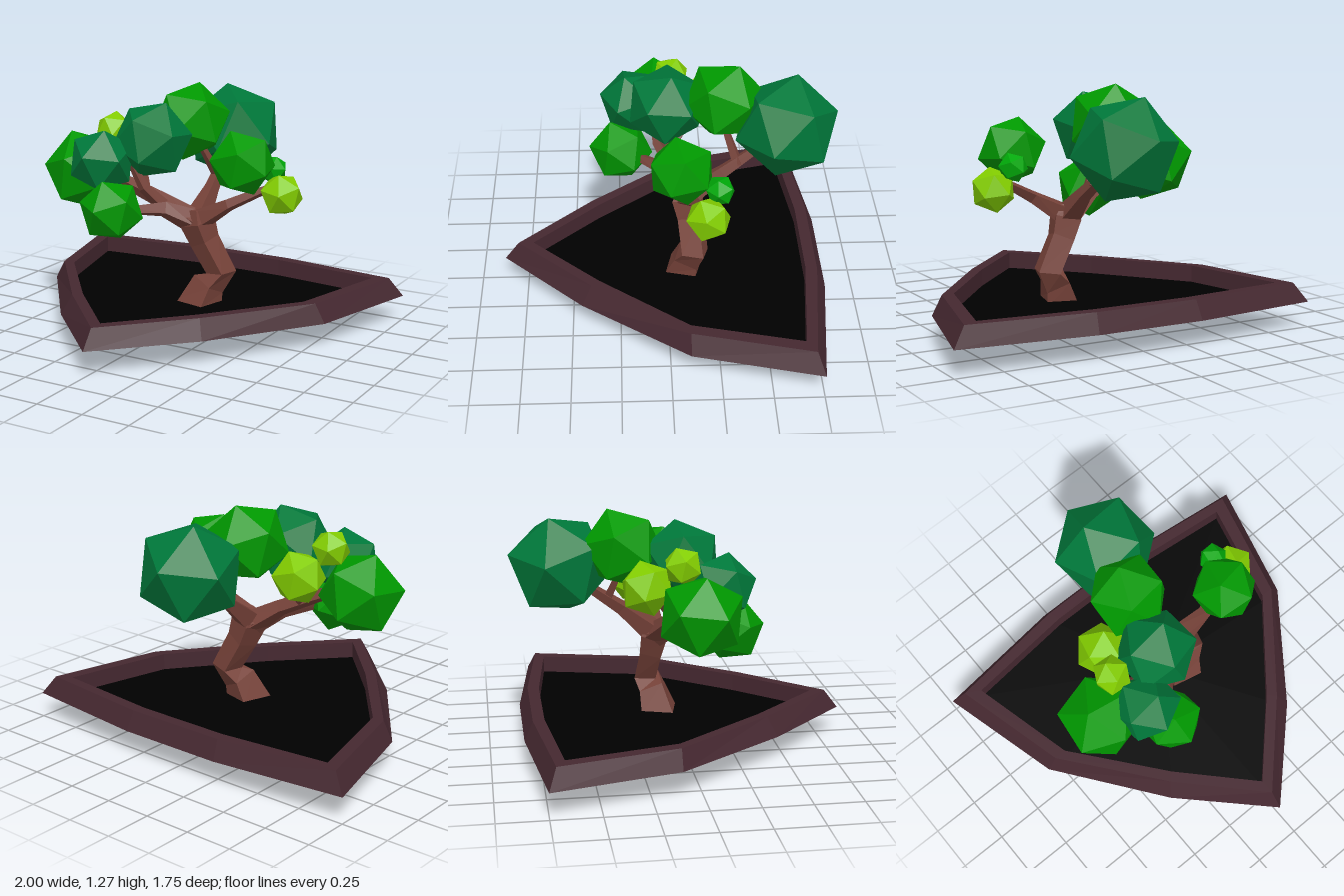
import * as THREE from 'three';

const mat = (name, color) => {
  const m = new THREE.MeshStandardMaterial({ color });
  m.name = name;
  return m;
};

// Flat-faced skin over a stack of loops, with optional end caps
function skin(loops, { sides = true, capStart = false, capEnd = false } = {}) {
  const pos = [];
  const tri = (...pts) => pts.forEach((p) => pos.push(p.x, p.y, p.z));
  const n = loops[0].length;
  const centre = (loop) =>
    loop.reduce((s, p) => s.add(p), new THREE.Vector3()).divideScalar(n);
  const first = loops[0], last = loops[loops.length - 1];
  const c0 = centre(first), c1 = centre(last);
  for (let i = 0; i < n; i++) {
    const j = (i + 1) % n;
    for (let k = 0; sides && k < loops.length - 1; k++) {
      const a = loops[k], b = loops[k + 1];
      tri(a[i], b[i], a[j]);
      tri(a[j], b[i], b[j]);
    }
    if (capStart) tri(c0, first[i], first[j]);
    if (capEnd) tri(c1, last[j], last[i]);
  }
  const g = new THREE.BufferGeometry();
  g.setAttribute('position', new THREE.Float32BufferAttribute(pos, 3));
  g.computeVertexNormals();
  return g;
}

// Four-sided tapering limb through [x, y, z, radius] points
function limb(points) {
  const up = new THREE.Vector3(0, 1, 0);
  const p = points.map((a) => new THREE.Vector3(a[0], a[1], a[2]));
  const loops = p.map((c, k) => {
    const dir = p[Math.min(k + 1, p.length - 1)].clone().sub(p[Math.max(k - 1, 0)]).normalize();
    const q = new THREE.Quaternion().setFromUnitVectors(up, dir);
    return [0, 1, 2, 3].map((i) => {
      const t = Math.PI / 3 + (i * Math.PI) / 2, r = points[k][3];
      return new THREE.Vector3(Math.cos(t) * r, 0, Math.sin(t) * r).applyQuaternion(q).add(c);
    });
  });
  return skin(loops, { capStart: true, capEnd: true });
}

// Mirrored nine-point tray outline at height y, from its left half plus the front tip
function outline(half, y) {
  const one = half.map(([x, z]) => new THREE.Vector3(x, y, z));
  const other = one.slice(0, -1).reverse().map((v) => new THREE.Vector3(-v.x, y, v.z));
  return [...one, ...other];
}

export function createModel() {
  const model = new THREE.Group();
  model.name = 'bonsaiTree';
  const bark = mat('bark', 0x764239);
  const clay = mat('darkClay', 0x452830);
  const soilMat = mat('soil', 0x000000);
  const green = mat('leafGreen', 0x009800);
  const teal = mat('leafTeal', 0x00783a);
  const lime = mat('leafLime', 0x82cc00);
  const bright = mat('leafBright', 0x00a808);

  const add = (name, geometry, material) => {
    const mesh = new THREE.Mesh(geometry, material);
    mesh.name = name;
    model.add(mesh);
    return mesh;
  };

  // Tray: sloped outside, flat rim, upright inner wall down to the soil
  const base = outline([[0.29, -0.83], [1, -0.75], [0.83, -0.1], [0.42, 0.45], [0, 0.87]], 0.135);
  const rimOuter = outline([[0.28, -0.785], [0.93, -0.71], [0.775, -0.1], [0.38, 0.4], [0, 0.795]], 0.235);
  const inner = [[0.26, -0.725], [0.85, -0.665], [0.71, -0.1], [0.34, 0.36], [0, 0.715]];
  const rimInner = outline(inner, 0.235);
  const floor = outline(inner, 0.145);
  add('tray', skin([base, rimOuter, rimInner, floor]), clay);
  add('soil', skin([base, floor], { sides: false, capStart: true, capEnd: true }), soilMat);

  // Bent trunk, passing through the tray
  add('trunk', limb([
    [0.11, 0.017, -0.08, 0.195], [0.108, 0.135, -0.09, 0.115], [0.145, 0.24, -0.115, 0.09],
    [0.205, 0.305, -0.145, 0.08], [0.115, 0.47, -0.125, 0.08], [0.08, 0.57, -0.11, 0.095],
    [0.07, 0.64, -0.11, 0.055],
  ]), bark);

  // Branches
  const branches = {
    leftBranch: [[0.08, 0.58, -0.11, 0.07], [0.27, 0.69, -0.1, 0.035], [0.46, 0.785, -0.17, 0.022]],
    backBranch: [[0.07, 0.59, -0.13, 0.07], [0.065, 0.72, -0.29, 0.04], [0.04, 0.87, -0.5, 0.025]],
    topTwig: [[0.065, 0.76, -0.37, 0.03], [0, 0.92, -0.31, 0.02]],
    frontBranch: [[0.06, 0.57, -0.11, 0.07], [-0.07, 0.645, -0.01, 0.045], [-0.2, 0.66, 0.17, 0.022]],
    rightBranch: [[0.06, 0.57, -0.11, 0.07], [-0.09, 0.67, -0.06, 0.045], [-0.33, 0.78, 0, 0.035], [-0.5, 0.82, 0.04, 0.02]],
    middleTwig: [[-0.09, 0.66, -0.03, 0.04], [-0.16, 0.76, 0.04, 0.03], [-0.22, 0.88, 0.06, 0.02]],
    limeTwig: [[-0.2, 0.72, -0.04, 0.03], [-0.31, 0.88, -0.18, 0.018]],
  };
  for (const [name, points] of Object.entries(branches)) add(name, limb(points), bark);

  // Shared tilt of the foliage balls: one edge runs along ex, centred on ey
  const ex = new THREE.Vector3(0.158, -0.669, -0.726).normalize();
  const ez = ex.clone().cross(new THREE.Vector3(-0.238, 0.691, -0.683)).normalize();
  const tilt = new THREE.Quaternion().setFromRotationMatrix(
    new THREE.Matrix4().makeBasis(ex, ez.clone().cross(ex), ez));
  const up = new THREE.Vector3(0, 1, 0);

  // Foliage: faceted balls as [x, y, z, radius, material], each spun differently
  [
    [-0.53, 0.815, 0.035, 0.222, green],
    [-0.24, 0.67, 0.235, 0.17, green],
    [-0.34, 0.91, 0.165, 0.18, teal],
    [-0.135, 1.01, -0.005, 0.212, teal],
    [-0.07, 1.07, -0.3, 0.215, green],
    [0.03, 0.972, -0.615, 0.272, teal],
    [0.365, 0.93, -0.065, 0.177, green],
    [0.53, 0.757, -0.19, 0.117, lime],
    [0.45, 0.87, -0.25, 0.077, bright],
    [-0.32, 0.915, -0.205, 0.142, lime],
    [-0.39, 1.035, -0.035, 0.102, lime],
  ].forEach(([x, y, z, r, m], i) => {
    const ball = add('foliage' + (i + 1), new THREE.IcosahedronGeometry(r, 0), m);
    ball.position.set(x, y, z);
    ball.quaternion.setFromAxisAngle(up, (i - 5) * 1.1).multiply(tilt);
  });

  return model;
}
